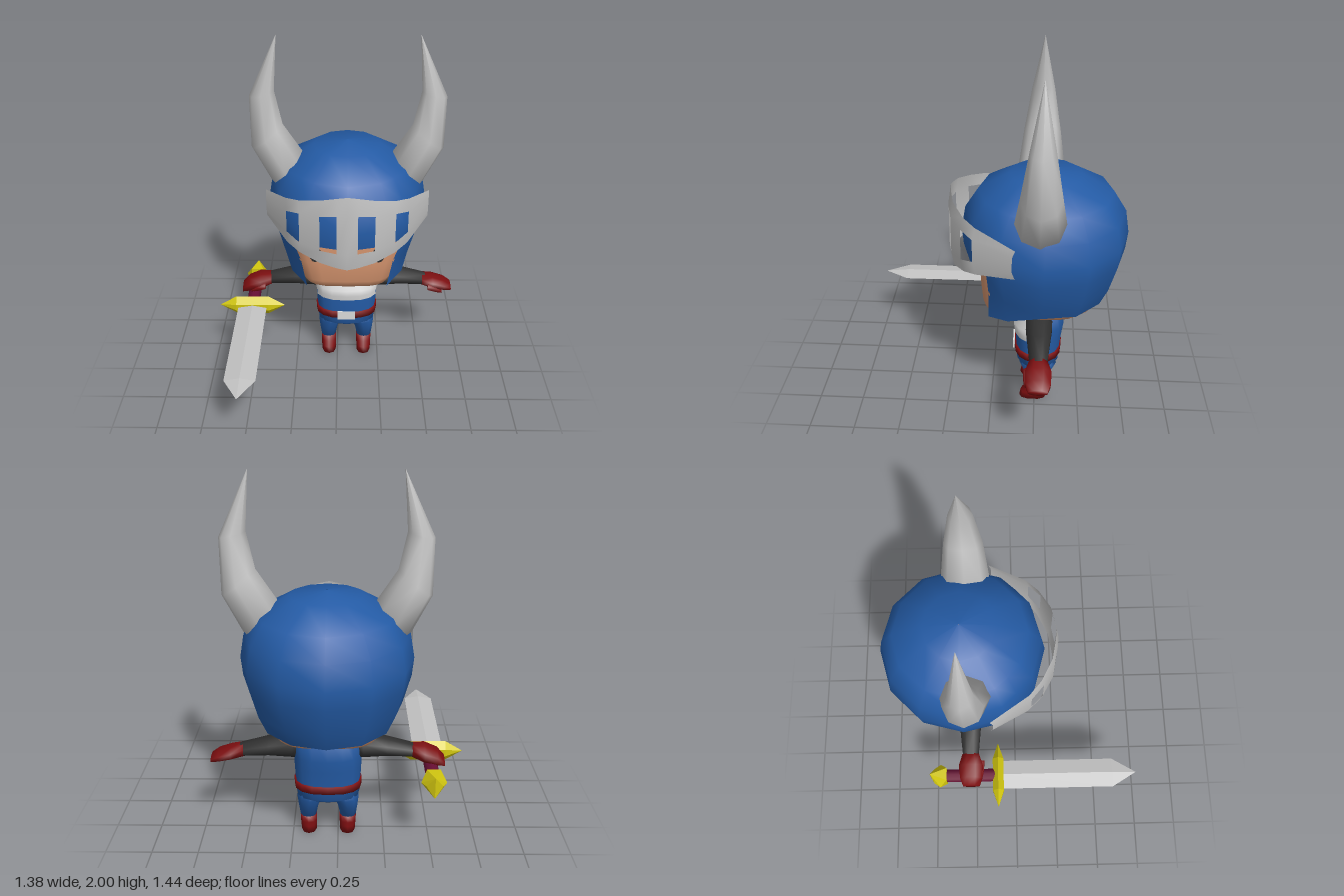
import * as THREE from 'three';
import { ConvexGeometry } from 'three/addons/geometries/ConvexGeometry.js';

const CX = 0.055; // the figure's own middle line
const V = (x, y, z) => new THREE.Vector3(x, y, z);

function material(name, color, double = false) {
  const m = new THREE.MeshStandardMaterial({ color });
  m.name = name;
  if (double) m.side = THREE.DoubleSide;
  return m;
}

// Skin a list of equal rings; skip(row, column) leaves openings; faces are turned outward.
function loft(rings, { skip = () => false, caps = true, flat = false } = {}) {
  const n = rings[0].length, pts = rings.flat(), idx = [];
  for (let i = 0; i < rings.length - 1; i++)
    for (let j = 0; j < n; j++) {
      if (skip(i, j)) continue;
      const a = i * n + j, b = i * n + (j + 1) % n;
      idx.push(a, b, b + n, a, b + n, a + n);
    }
  if (caps) {
    for (const [r, turn] of [[0, true], [rings.length - 1, false]]) {
      const c = pts.length, mid = V(0, 0, 0);
      rings[r].forEach(p => mid.addScaledVector(p, 1 / n));
      pts.push(mid);
      for (let j = 0; j < n; j++) {
        const a = r * n + j, b = r * n + (j + 1) % n;
        idx.push(c, turn ? b : a, turn ? a : b);
      }
    }
  }
  const mean = V(0, 0, 0);
  pts.forEach(p => mean.addScaledVector(p, 1 / pts.length));
  let volume = 0;
  for (let k = 0; k < idx.length; k += 3) {
    const [a, b, c] = [0, 1, 2].map(o => pts[idx[k + o]].clone().sub(mean));
    volume += a.dot(b.cross(c));
  }
  if (volume < 0) idx.reverse();
  let g = new THREE.BufferGeometry().setFromPoints(pts);
  g.setIndex(idx);
  if (flat) g = g.toNonIndexed();
  g.computeVertexNormals();
  return g;
}

const power = (v, e) => Math.sign(v) * Math.abs(v) ** (2 / e);
// Level cross-section: column 0 faces the front
function slice(cx, y, rx, zf, zb, e = 2.5, n = 16) {
  return Array.from({ length: n }, (_, j) => {
    const a = j / n * Math.PI * 2;
    return V(cx + rx * power(Math.sin(a), e), y, (zf + zb) / 2 + (zf - zb) / 2 * power(Math.cos(a), e));
  });
}
// Upright cross-section across an arm
function armSlice(x, y, z, ry, rz, n = 8) {
  return Array.from({ length: n }, (_, j) => {
    const a = (j + 0.5) / n * Math.PI * 2;
    return V(x, y + ry * Math.sin(a) * 1.06, z + rz * Math.cos(a) * 1.06);
  });
}

export function createModel() {
  const root = new THREE.Group();
  const blue = material('blue', 0x245ba5), shellBlue = material('helmet blue', 0x245ba5, true);
  const steel = material('steel', 0xc2c2c2, true), white = material('white', 0xdcdcdc, true);
  const skin = material('skin', 0xd6956f), red = material('dark red', 0x7c0e10);
  const black = material('charcoal', 0x303030), gold = material('yellow', 0xd2c710);
  const maroon = material('maroon', 0x6a0f35);
  const add = (name, geometry, mat, parent = root) => {
    const m = new THREE.Mesh(geometry, mat);
    m.name = name;
    parent.add(m);
    return m;
  };

  // Helmet: round shell, open at the face and underneath
  const angles = [0, 30, 46, 60, 90, 120, 150, 180, 210, 240, 270, 300, 314, 330];
  const helmetRows = [[1.41, 0.002], [1.385, 0.19], [1.29, 0.355], [1.18, 0.425], [1.05, 0.447], [0.95, 0.437],
    [0.80, 0.395], [0.70, 0.35]];
  const helmet = helmetRows.map(([y, r], i) => angles.map((deg, j) => {
    let a = deg, rr = r, yy = y;
    const cheek = j === 2 || j === 12;
    if (cheek) {
      const turn = [0, 0, 0, 0, 0, 0, 4, 8][i];
      a += j === 2 ? -turn : turn;
      rr *= 0.975;
      if (i === 7) { yy = 0.63; rr = 0.367; }
    } else if (i === 7 && (j === 3 || j === 11)) { yy = 0.665; rr = 0.365; }
    else if (i === 7 && (j === 4 || j === 10)) { yy = 0.715; rr = 0.355; }
    const t = a * Math.PI / 180;
    return V(CX + rr * Math.sin(t), yy, -0.28 + rr * Math.cos(t));
  }));
  add('helmet', loft(helmet, { caps: false, skip: (i, j) => i >= 5 && (j < 2 || j >= 12) }), shellBlue);

  // Head inside the helmet
  const headRows = [[0.61, 0.19, -0.03, -0.42], [0.635, 0.25, 0.025, -0.5], [0.68, 0.275, 0.048, -0.56],
    [0.80, 0.315, 0.058, -0.6], [0.95, 0.35, 0.06, -0.62], [1.03, 0.34, 0.05, -0.6]];
  add('head', loft(headRows.map(([y, rx, f, b]) => slice(CX, y, rx, f, b, 3.8, 24))), skin);

  // Visor: bent sheet with four slots; [offset, z, bottom, slot bottom, slot top, top]
  const half = [[0.45, -0.13, 1.01, 1.05, 1.13, 1.17], [0.325, 0.075, 0.955, 1.03, 1.155, 1.225],
    [0.255, 0.14, 0.93, 1.0, 1.175, 1.245], [0.145, 0.2, 0.9, 0.985, 1.19, 1.275],
    [0.055, 0.218, 0.878, 0.975, 1.2, 1.295], [0, 0.225, 0.87, 0.97, 1.2, 1.305]];
  const cols = [...half.map(c => [-c[0], ...c.slice(1)]), ...half.slice(0, 5).reverse()];
  const vp = [], vi = [];
  cols.forEach(([x, z, ...ys]) => ys.forEach((y, k) => vp.push(V(CX + x, y, z + (k % 3 ? 0.01 : -0.005)))));
  for (let i = 0; i < cols.length - 1; i++)
    for (let k = 0; k < 3; k++) {
      if (k === 1 && [1, 3, 6, 8].includes(i)) continue;
      const a = i * 4 + k;
      vi.push(a, a + 4, a + 5, a, a + 5, a + 1);
    }
  const visor = new THREE.BufferGeometry().setFromPoints(vp);
  visor.setIndex(vi);
  visor.computeVertexNormals();
  add('visor', visor, steel);

  // Torso, shirt front, belt and buckle
  const torsoRows = [[0.65, 0.17, -0.18, -0.41], [0.5, 0.182, -0.135, -0.41], [0.43, 0.182, -0.135, -0.4],
    [0.34, 0.178, -0.135, -0.39], [0.25, 0.172, -0.14, -0.385], [0.215, 0.1, -0.18, -0.34]];
  add('torso', loft(torsoRows.map(([y, rx, f, b]) => slice(CX, y, rx, f, b))), blue);
  const shirtRows = [[0.63, 0.178, -0.18, -0.41], [0.5, 0.188, -0.115, -0.415], [0.46, 0.188, -0.12, -0.41],
    [0.43, 0.187, -0.125, -0.405]];
  add('shirtFront', loft(shirtRows.map(([y, rx, f, b]) => slice(CX, y, rx, f, b)),
    { caps: false, skip: (i, j) => i === 2 ? j > 2 && j < 13 : j > 3 && j < 12 }), white);
  add('belt', loft([0.34, 0.297].map(y => slice(CX, y, 0.184, -0.128, -0.396))), red);
  add('buckle', new THREE.BoxGeometry(0.105, 0.055, 0.009), white).position.set(CX, 0.321, -0.125);

  for (const s of [-1, 1]) {
    const side = s > 0 ? 'left' : 'right';

    // Eye
    const eye = add(side + 'Eye', new THREE.CircleGeometry(1, 12), black);
    eye.scale.set(0.033, 0.052, 1);
    eye.position.set(CX + s * 0.175, 0.872, 0.062);

    // Horn: [outer x, outer y, inner x, inner y, half depth]
    const horn = [[0.425, 1.17, 0.25, 1.35, 0.13], [0.53, 1.375, 0.355, 1.51, 0.103],
      [0.53, 1.67, 0.395, 1.70, 0.063], [0.376, 1.998, 0.374, 1.998, 0.001]];
    add(side + 'Horn', loft(horn.map(([ox, oy, ix, iy, d]) => Array.from({ length: 8 }, (_, j) => {
      const a = j / 8 * Math.PI * 2, t = (1 - Math.cos(a)) / 2;
      return V(CX + s * (ox + (ix - ox) * t), oy + (iy - oy) * t, -0.255 + d * Math.sin(a));
    }))), steel);

    // Arm, hand and thumb
    const arm = [[0.13, 0.545, 0.074, 0.075], [0.19, 0.54, 0.07, 0.073], [0.32, 0.527, 0.05, 0.06], [0.475, 0.503, 0.034, 0.045]];
    add(side + 'Arm', loft(arm.map(([x, y, ry, rz]) => armSlice(CX + s * x, y, -0.265, ry, rz))), black);
    const hand = s > 0
      ? [[0.455, 0.505, 0.036, 0.05], [0.52, 0.49, 0.036, 0.07], [0.59, 0.472, 0.03, 0.066], [0.632, 0.455, 0.016, 0.05]]
      : [[0.455, 0.505, 0.036, 0.05], [0.52, 0.49, 0.05, 0.072], [0.59, 0.465, 0.045, 0.066], [0.63, 0.44, 0.025, 0.05]];
    add(side + 'Hand', loft(hand.map(([x, y, ry, rz]) => armSlice(CX + s * x, y, -0.265, ry, rz))), red);
    const thumb = [[0.49, 0.48, 0.022, 0.024], [0.54, 0.462, 0.02, 0.02], [0.575, 0.447, 0.01, 0.012]];
    add(side + 'Thumb', loft(thumb.map(([x, y, ry, rz]) => armSlice(CX + s * x, y, -0.208, ry, rz, 6))), red);

    // Leg and boot
    const leg = [[0.29, 0.085, 0.075, -0.165, -0.36], [0.235, 0.098, 0.073, -0.16, -0.37],
      [0.165, 0.108, 0.056, -0.195, -0.325], [0.095, 0.11, 0.044, -0.212, -0.305]];
    add(side + 'Leg', loft(leg.map(([y, x, rx, f, b]) => slice(CX + s * x, y, rx, f, b, 2.3, 10))), blue);
    const boot = [[0.1, 0.109, 0.047, -0.21, -0.308], [0.065, 0.108, 0.046, -0.2, -0.312],
      [0.04, 0.108, 0.045, -0.17, -0.316], [0, 0.107, 0.043, -0.163, -0.318]];
    add(side + 'Boot', loft(boot.map(([y, x, rx, f, b]) => slice(CX + s * x, y, rx, f, b, 2.5, 10))), red);
  }

  // Sword, held level and pointing forward
  const sword = new THREE.Group();
  sword.name = 'sword';
  sword.position.set(-0.505, 0.41, 0);
  root.add(sword);
  const blade = [[-0.1, 1], [0.575, 1], [0.715, 0.01]].map(([z, k]) =>
    [V(0.084 * k, 0, z), V(0, 0.016 * k, z), V(-0.084 * k, 0, z), V(0, -0.016 * k, z)]);
  add('blade', loft(blade, { flat: true }), steel, sword);
  const guard = [[-0.19, 0.02], [-0.095, 1], [0.095, 1], [0.19, 0.02]].map(([x, k]) =>
    [[0.06, 0], [0.02, 0.032], [-0.02, 0.032], [-0.06, 0], [-0.02, -0.032], [0.02, -0.032]]
      .map(([y, z]) => V(x, y * k, -0.106 + z * k)));
  add('guard', loft(guard, { flat: true }), gold, sword);
  const grip = new THREE.CylinderGeometry(0.038, 0.038, 0.3, 8).rotateX(Math.PI / 2);
  add('grip', grip, maroon, sword).position.z = -0.275;
  const pommel = [];
  for (const a of [-1, 1]) {
    pommel.push(V(a * 0.068, 0, -0.45), V(0, a * 0.06, -0.51), V(a * 0.045, 0, -0.485));
    for (const b of [-1, 1]) pommel.push(V(a * 0.036, b * 0.056, -0.412));
  }
  add('pommel', new ConvexGeometry(pommel), gold, sword);

  return root;
}
